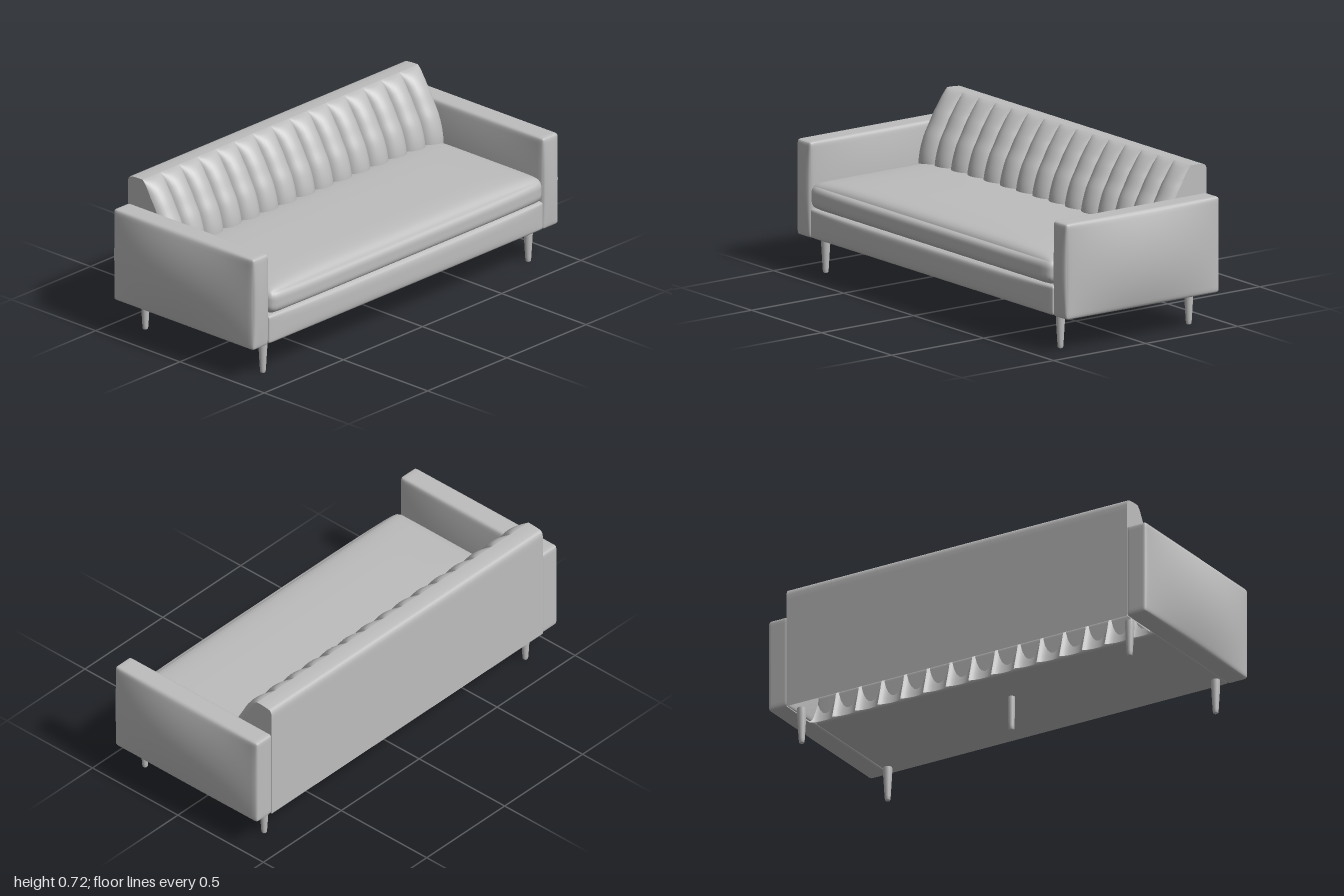
import * as THREE from 'three';
import { mergeVertices } from 'three/addons/utils/BufferGeometryUtils.js';

const fabric = new THREE.MeshStandardMaterial({ color: 0xbdbdbd, side: THREE.DoubleSide });
fabric.name = 'light grey';

// Upholstered block: rounded box between two corners, with a bulge on chosen sides
function paddedBox(name, min, max, radius, bulge, power = 2) {
  const size = [0, 1, 2].map(i => max[i] - min[i]);
  const mid = [0, 1, 2].map(i => (max[i] + min[i]) / 2);
  let geo = new THREE.BoxGeometry(2, 2, 2, 24, 24, 24);
  geo.deleteAttribute('uv');
  geo.deleteAttribute('normal');
  geo = mergeVertices(geo);
  const pos = geo.attributes.position;
  for (let k = 0; k < pos.count; k++) {
    // finer spacing towards the edges
    const t = [pos.getX(k), pos.getY(k), pos.getZ(k)].map(a => Math.sin(a * Math.PI / 2));
    const p = t.map((a, i) => a * size[i] / 2);
    const core = p.map((a, i) => THREE.MathUtils.clamp(a, radius - size[i] / 2, size[i] / 2 - radius));
    const dir = new THREE.Vector3(...p.map((a, i) => a - core[i])).setLength(radius).toArray();
    const out = core.map((a, i) => a + dir[i] + mid[i]);
    const fall = t.map(a => 1 - Math.pow(Math.abs(a), power));
    ['x', 'y', 'z'].forEach((axis, i) => {
      const amount = bulge[(t[i] > 0 ? '+' : '-') + axis] || 0;
      out[i] += amount * t[i] * fall[(i + 1) % 3] * fall[(i + 2) % 3];
    });
    pos.setXYZ(k, ...out);
  }
  geo.computeVertexNormals();
  const mesh = new THREE.Mesh(geo, fabric);
  mesh.name = name;
  return mesh;
}

// Channel-tufted backrest, open underneath
function makeBackrest() {
  const group = new THREE.Group();
  group.name = 'backrest';
  const half = 0.87, channels = 15, width = 2 * half / channels;
  const front = new THREE.CatmullRomCurve3([
    [-0.21, 0.16], [-0.175, 0.3], [-0.162, 0.42], [-0.187, 0.52], [-0.22, 0.582],
    [-0.25, 0.635], [-0.288, 0.683], [-0.32, 0.708], [-0.345, 0.716],
  ].map(([z, y]) => new THREE.Vector3(0, y, z))).getPoints(36);
  const rear = [[-0.38, 0.715], [-0.41, 0.712], [-0.421, 0.708], [-0.427, 0.7],
    [-0.43, 0.685], [-0.43, 0.66], [-0.43, 0.4], [-0.43, 0.155]]
    .map(([z, y]) => new THREE.Vector3(0, y, z));
  const profile = [...front, ...rear];

  // u runs -1..1 across one channel; the seam is pulled in, fading out at the top
  const pointAt = (u, row) => {
    const p = profile[row].clone();
    const fade = row < front.length ? Math.min(1, (front.length - 1 - row) / 12) : 0;
    const depth = 0.034 * (1 - Math.sqrt(1 - 0.9 * u * u)) / 0.684 * fade;
    p.z -= depth;
    p.y -= depth * 0.3;
    return p;
  };

  const rows = profile.length - 1;
  const strip = new THREE.PlaneGeometry(2, 1, 12, rows);
  const pos = strip.attributes.position;
  for (let k = 0; k < pos.count; k++) {
    const u = Math.sin(pos.getX(k) * Math.PI / 2);
    const p = pointAt(u, Math.round((pos.getY(k) + 0.5) * rows));
    pos.setXYZ(k, u * width / 2, p.y, p.z);
  }
  strip.computeVertexNormals();
  for (let i = 0; i < channels; i++) {
    const mesh = new THREE.Mesh(strip, fabric);
    mesh.name = 'backChannel';
    mesh.position.x = -half + (i + 0.5) * width;
    group.add(mesh);
  }

  // flat ends
  const outline = profile.map((_, i) => pointAt(1, i)).map(p => new THREE.Vector2(p.z, p.y));
  for (const side of [-1, 1]) {
    const geo = new THREE.ShapeGeometry(new THREE.Shape(outline));
    if (side < 0) geo.rotateY(-Math.PI / 2);
    else geo.scale(-1, 1, 1).rotateY(Math.PI / 2);
    // keep the winding facing outwards after mirroring
    if (side > 0) {
      geo.setIndex(Array.from(geo.index.array).reverse());
      geo.computeVertexNormals();
    }
    const cap = new THREE.Mesh(geo, fabric);
    cap.name = 'backEnd';
    cap.position.x = side * half;
    group.add(cap);
  }
  return group;
}

// Tapered round leg with a softened foot
function makeLeg(name, x, z, top) {
  const geo = new THREE.LatheGeometry([
    [0, 0], [0.009, 0], [0.012, 0.004], [0.0135, 0.02], [top, 0.13], [top, 0.165],
  ].map(([r, y]) => new THREE.Vector2(r, y)), 20);
  const leg = new THREE.Mesh(geo, fabric);
  leg.name = name;
  leg.position.set(x, 0, z);
  return leg;
}

export function createModel() {
  const model = new THREE.Group();
  model.name = 'sofa';

  model.add(paddedBox('baseRail', [-0.868, 0.157, -0.2], [0.868, 0.29, 0.405], 0.014, { '+z': 0.012 }, 4));
  model.add(paddedBox('seatCushion', [-0.866, 0.288, -0.25], [0.866, 0.408, 0.418], 0.045,
    { '+y': 0.023, '+z': 0.013 }, 6));
  model.add(makeBackrest());

  // arms
  model.add(paddedBox('leftArm', [0.865, 0.155, -0.43], [0.965, 0.583, 0.402], 0.014,
    { '+x': 0.035, '-x': 0.02, '+z': 0.01 }));
  model.add(paddedBox('rightArm', [-0.965, 0.155, -0.43], [-0.865, 0.583, 0.402], 0.014,
    { '-x': 0.035, '+x': 0.02, '+z': 0.01 }));

  // legs
  for (const side of [-1, 1]) {
    model.add(makeLeg('frontLeg', side * 0.838, 0.34, 0.02));
    model.add(makeLeg('rearLeg', side * 0.838, -0.357, 0.02));
  }
  model.add(makeLeg('centreLeg', 0, 0.014, 0.016));
  return model;
}
